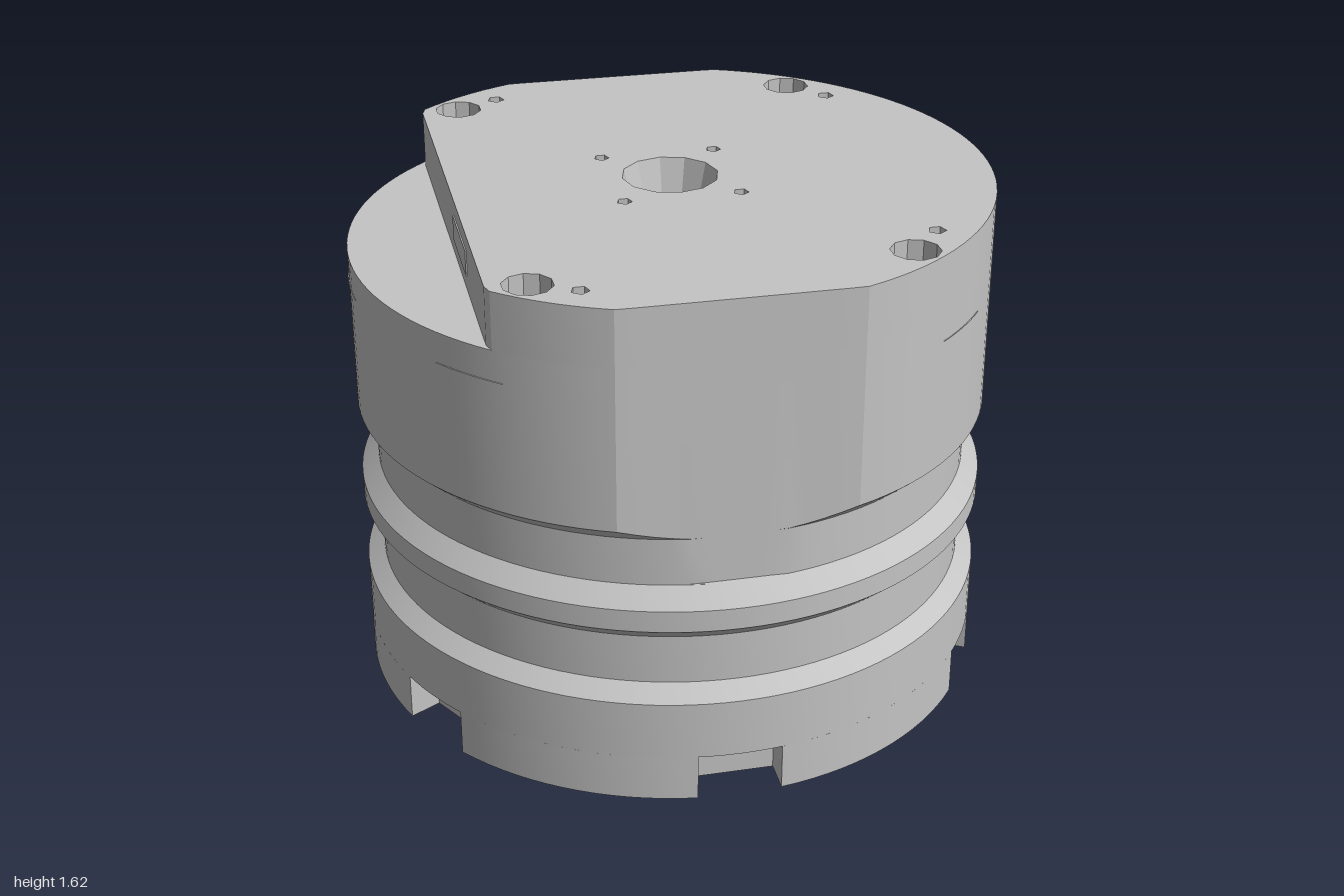
import * as THREE from 'three';
import { toCreasedNormals } from 'three/addons/utils/BufferGeometryUtils.js';

const SEG = 120, FLAT = 0.935, STEP_X = -0.68, STEP_Y = 1.44, TOP = 1.62, NOTCH_TOP = 0.15;

export function createModel() {
  const group = new THREE.Group();
  const metal = new THREE.MeshStandardMaterial({ color: 0xc4c4c4 });
  metal.name = 'machined grey metal';

  const add = (name, geometry) => {
    const mesh = new THREE.Mesh(geometry, metal);
    mesh.name = name;
    group.add(mesh);
  };
  const polar = (r, a) => new THREE.Vector2(r * Math.sin(a), r * Math.cos(a));
  // Largest radius that stays inside the two flats, for a direction
  const flatRadius = (x, z) => FLAT * Math.hypot(x, z) / Math.max(Math.abs(z), 1e-6);
  // Holes run against the outlines so that their walls face inward
  const drill = (shape, x, z, r, sides = 10) => {
    const pts = [];
    for (let i = 0; i < sides; i++) pts.push(polar(r, -(i / sides) * Math.PI * 2).add(new THREE.Vector2(x, z)));
    shape.holes.push(new THREE.Path(pts));
  };
  // Horizontal slab from a plan drawn in x and z
  const slab = (shape, y0, y1) => {
    const g = new THREE.ExtrudeGeometry(shape, { depth: y1 - y0, bevelEnabled: false });
    g.rotateX(Math.PI / 2).translate(0, y1, 0);
    return toCreasedNormals(g, 0.28);
  };
  // Mirrored open cylinder or cone, so its inner side shows
  const lining = (name, rTop, rBottom, height, sides, x, y, z) => {
    const g = new THREE.CylinderGeometry(rTop, rBottom, height, sides, 1, true).scale(-1, 1, 1).toNonIndexed();
    g.computeVertexNormals();
    add(name, g.translate(x, y, z));
  };

  // Grooved hollow body, turned as one closed profile
  const profile = [
    [0.69, NOTCH_TOP], [1, NOTCH_TOP], [1, 0.34], [0.945, 0.385], [0.945, 0.545],
    [1, 0.595], [1, 0.665], [0.945, 0.722], [0.945, 0.724], [0.945, 0.875], [1, 0.925],
    [1, STEP_Y], [0.105, STEP_Y], [0.105, 1.2], [0.73, 1.2],
    [0.73, 0.66], [0.69, 0.62], [0.69, 0.54], [0.73, 0.5], [0.73, 0.24], [0.69, 0.2], [0.69, NOTCH_TOP],
  ].map(([r, y]) => new THREE.Vector2(r, y));
  const body = new THREE.LatheGeometry(profile, SEG);
  const pos = body.attributes.position;
  // Mill the flats above the middle flange; the upper chamfer fades out along them
  for (let i = 0; i < pos.count; i++) {
    const x = pos.getX(i), y = pos.getY(i), z = pos.getZ(i);
    const k = Math.min(1, flatRadius(x, z) / Math.hypot(x, z));
    if (y < 0.723 || k === 1) continue;
    const onChamferTop = Math.abs(y - 0.925) < 0.001;
    const chamferY = Math.max(0.8751, 0.875 + (k - 0.945) * 0.05 / 0.055);
    pos.setXYZ(i, x * k, onChamferTop ? chamferY : y, z * k);
  }
  add('groovedBody', toCreasedNormals(body, 0.28));

  // Top deck with flats, side step and drilled holes
  const outline = [];
  for (let i = 0; i < SEG; i++) {
    const p = polar(1, (i / SEG) * Math.PI * 2);
    p.multiplyScalar(Math.min(1, flatRadius(p.x, p.y)));
    outline.push(new THREE.Vector2(Math.max(p.x, STEP_X), p.y));
  }
  const deck = new THREE.Shape(outline);
  drill(deck, 0, 0, 0.15, 12);
  lining('centreCountersink', 0.15, 0.105, TOP - STEP_Y, 12, 0, (TOP + STEP_Y) / 2, 0);
  for (const sz of [-1, 1]) {
    for (const sx of [-1, 1]) {
      drill(deck, sx * 0.56, sz * 0.72, 0.075);
      lining('boltHoleTip', 0.075, 0, 0.1, 10, sx * 0.56, 1.5, sz * 0.72);
      drill(deck, sx * 0.18, sz * 0.185, 0.024, 5);
    }
    drill(deck, -0.425, sz * 0.79, 0.028, 5);
    drill(deck, 0.665, sz * 0.595, 0.028, 5);
  }
  add('topDeck', slab(deck, STEP_Y, TOP));

  // Small plate on the step wall
  add('stepPlate', new THREE.BoxGeometry(0.008, 0.08, 0.28).translate(STEP_X, 1.53, 0.2));

  // Foot ring with six notches and bolt holes
  const ring = [], half = 0.13, edge = Math.asin(half), sixth = Math.PI / 3;
  for (let k = 0; k < 6; k++) {
    const a = k * sixth;
    const inner = Math.hypot(0.885, half), innerAngle = Math.atan2(half, 0.885);
    ring.push(polar(inner, a - innerAngle), polar(inner, a + innerAngle));
    for (let i = 0; i <= 15; i++) ring.push(polar(1, a + edge + (i / 15) * (sixth - 2 * edge)));
  }
  const foot = new THREE.Shape(ring);
  drill(foot, 0, 0, 0.69, SEG);
  for (let k = 0; k < 6; k++) {
    for (const [turn, r, sides] of [[0.25, 0.06, 8], [0.5, 0.032, 6], [0.75, 0.06, 8]]) {
      const p = polar(0.9, (k + turn) * sixth);
      drill(foot, p.x, p.y, r, sides);
      lining('footHoleTip', 0, r, 0.07, sides, p.x, 0.1, p.y);
    }
  }
  add('notchedFootRing', slab(foot, 0, NOTCH_TOP));

  // Fine score marks around the upper wall
  const ridge = [[0.99, 1.338], [1.002, 1.343], [0.99, 1.348]].map(([r, y]) => new THREE.Vector2(r, y));
  for (const deg of [47, 90, 133, 227, 270, 313]) {
    const a = THREE.MathUtils.degToRad(deg);
    add('scoreMark', toCreasedNormals(new THREE.LatheGeometry(ridge, 8, a - 0.12, 0.24), 0.28));
  }
  return group;
}
